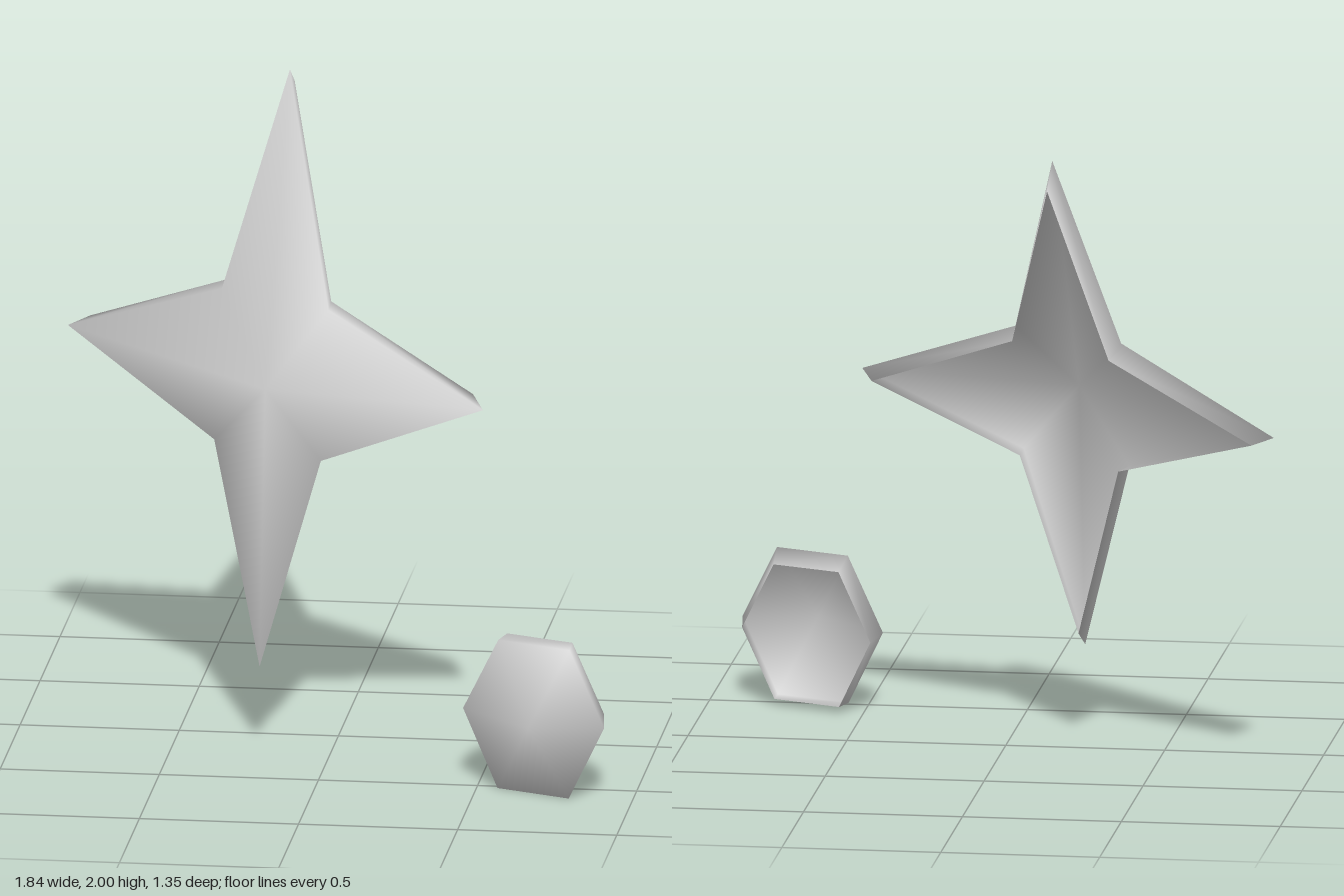
import * as THREE from 'three';

// Hollow shell open at the back: a bulging front fan that rolls smoothly into a side wall.
// Rims run counter-clockwise seen from the front.
function shell(name, centre, frontRim, backRim, material) {
  const n = frontRim.length;
  const index = [];
  for (let i = 0; i < n; i++) {
    const j = (i + 1) % n;
    const fi = 1 + i, fj = 1 + j, bi = 1 + n + i, bj = 1 + n + j;
    index.push(0, fi, fj);
    // wall diagonals all start at the even front corners
    if (i % 2 === 0) index.push(fi, bi, bj, fi, bj, fj);
    else index.push(fi, bi, fj, bi, bj, fj);
  }
  const geometry = new THREE.BufferGeometry();
  const points = [centre, ...frontRim, ...backRim];
  geometry.setAttribute('position', new THREE.Float32BufferAttribute(points.flat(), 3));
  geometry.setIndex(index);
  geometry.computeVertexNormals();
  const mesh = new THREE.Mesh(geometry, material);
  mesh.name = name;
  return mesh;
}

export function createModel() {
  const model = new THREE.Group();
  model.name = 'starAndGem';
  const grey = new THREE.MeshStandardMaterial({ color: 0xcccccc, side: THREE.DoubleSide });
  grey.name = 'light grey';

  // Tilted four-pointed star, tips alternating with inner corners
  model.add(shell('star',
    [-0.22, 1.14, 0.08],
    [
      [0.483, 1.14, 0.23], [-0.04, 1.36, -0.07], [-0.22, 2.0, -0.54], [-0.4, 1.36, -0.27],
      [-0.92, 1.14, -0.56], [-0.4, 0.925, -0.08], [-0.22, 0.28, 0.22], [-0.04, 0.925, 0.12],
    ],
    [
      [0.43, 1.14, 0.055], [-0.05, 1.345, -0.22], [-0.22, 1.93, -0.66], [-0.385, 1.345, -0.45],
      [-0.865, 1.14, -0.675], [-0.385, 0.94, -0.23], [-0.22, 0.35, 0.065], [-0.05, 0.94, -0.045],
    ],
    grey));

  // Small six-sided gem
  model.add(shell('gem',
    [0.68, 0.24, 0.67],
    [
      [0.915, 0.24, 0.64], [0.8, 0.475, 0.59], [0.565, 0.475, 0.5],
      [0.45, 0.24, 0.465], [0.565, 0, 0.52], [0.8, 0, 0.61],
    ],
    [
      [0.895, 0.24, 0.48], [0.79, 0.455, 0.435], [0.575, 0.455, 0.355],
      [0.47, 0.24, 0.322], [0.575, 0.02, 0.37], [0.79, 0.02, 0.455],
    ],
    grey));

  return model;
}
